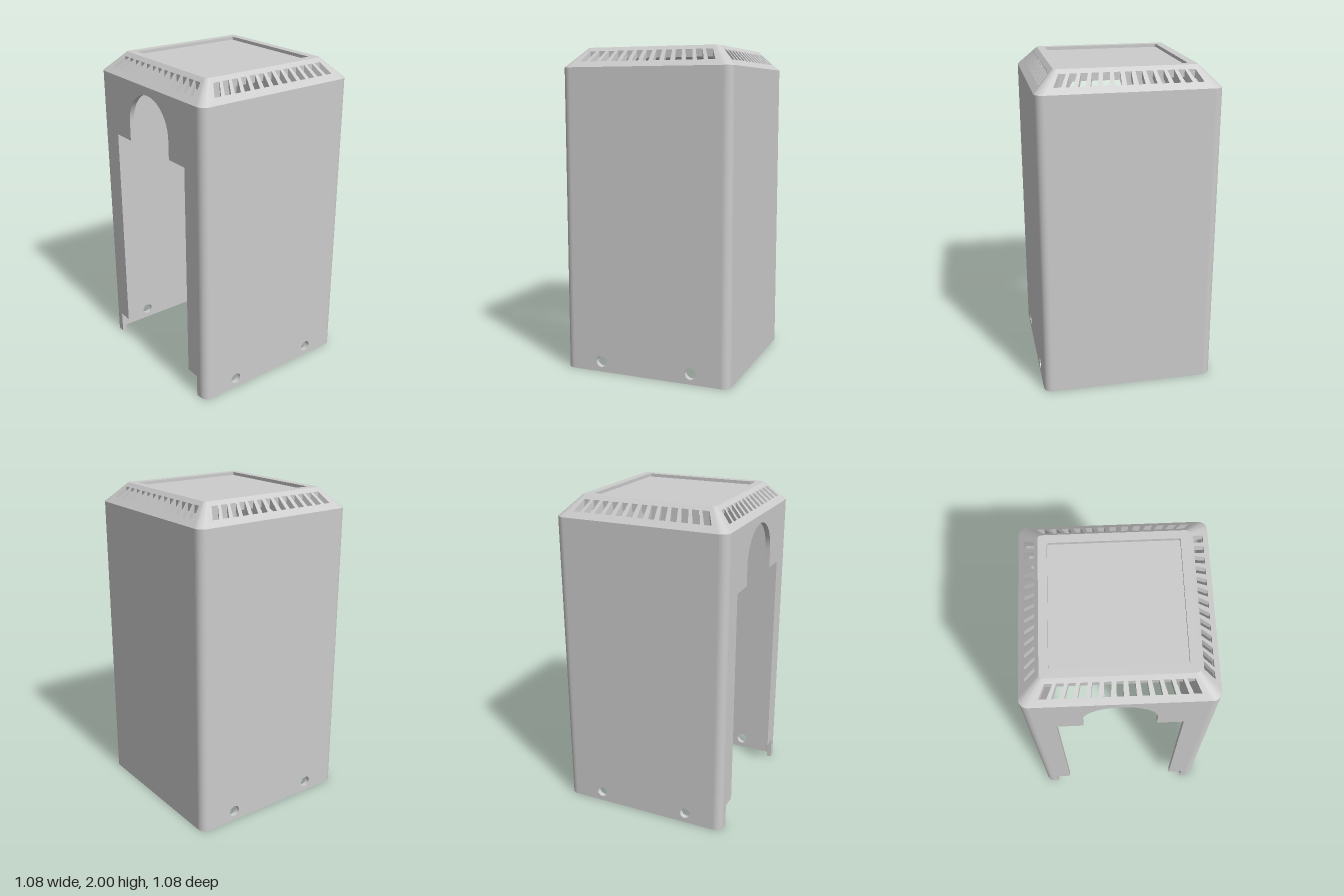
import * as THREE from 'three';
import { toCreasedNormals } from 'three/addons/utils/BufferGeometryUtils.js';

const material = new THREE.MeshStandardMaterial({ color: 0xcccccc });
const HALF = 0.54, WALL = 0.03, FLAT = 0.49;      // outer half width, wall thickness, flat half width
const EAVE = 1.88, TOP = 2, TOP_HALF = 0.42, ROOF = 0.045;
const SLOTS = 13;

function polygon(points, Type = THREE.Shape) {
  return new Type(points.map(([x, y]) => new THREE.Vector2(x, y)));
}

function roundedSquare(h, r, Type = THREE.Shape) {
  const s = new Type(), c = h - r;
  s.moveTo(c, -h);
  s.absarc(c, -c, r, -Math.PI / 2, 0);
  s.absarc(c, c, r, 0, Math.PI / 2);
  s.absarc(-c, c, r, Math.PI / 2, Math.PI);
  s.absarc(-c, -c, r, Math.PI, Math.PI * 1.5);
  s.closePath();
  return s;
}

function extrude(shape, depth) {
  return new THREE.ExtrudeGeometry(shape, { depth, bevelEnabled: false, curveSegments: 16 });
}

function add(parent, name, geometry, turn = 0) {
  const mesh = new THREE.Mesh(toCreasedNormals(geometry, 0.6), material);
  mesh.name = name;
  mesh.rotation.y = turn;
  parent.add(mesh);
  return mesh;
}

// Flat wall, optionally with two screw holes near the bottom
function wallGeometry(withHoles) {
  const top = EAVE - ROOF;
  const shape = polygon([[-FLAT, 0], [FLAT, 0], [FLAT, top], [-FLAT, top]]);
  if (withHoles) for (const x of [-0.297, 0.297]) {
    shape.holes.push(new THREE.Path().absarc(x, 0.065, 0.035, 0, Math.PI * 2, true));
  }
  return extrude(shape, WALL).translate(0, 0, HALF - WALL);
}

// Wall with the stepped opening and the arch above it
function openWallGeometry() {
  const top = EAVE - ROOF;
  const side = [[0.457, 0], [0.457, 0.14], [0.365, 0.14], [0.365, 1.5], [0.21, 1.5]];
  const s = new THREE.Shape();
  s.moveTo(-FLAT, top);
  s.lineTo(-FLAT, 0);
  side.forEach(([x, y]) => s.lineTo(-x, y));
  s.lineTo(-0.21, 1.62);
  s.absarc(0, 1.62, 0.21, Math.PI, 0, true);
  side.reverse().forEach(([x, y]) => s.lineTo(x, y));
  s.lineTo(FLAT, 0);
  s.lineTo(FLAT, top);
  s.closePath();
  return extrude(s, WALL).translate(0, 0, HALF - WALL);
}

// Sloped roof panel: a plan with fanned vent slots, extruded upward and sheared
function roofPanelGeometry() {
  const shape = polygon([[-FLAT, -HALF], [FLAT, -HALF], [0.4, -TOP_HALF], [-0.4, -TOP_HALF]]);
  const mid = (SLOTS - 1) / 2;
  for (let k = -mid; k <= mid; k++) {
    const w = 0.0185 + 0.0005 * Math.abs(k), outer = k * 0.0683, inner = k * 0.062;
    shape.holes.push(polygon([
      [outer - w, -0.506], [inner - w, -0.443], [inner + w, -0.443], [outer + w, -0.506],
    ], THREE.Path));
  }
  const g = extrude(shape, ROOF).rotateX(-Math.PI / 2);
  const p = g.attributes.position;
  for (let i = 0; i < p.count; i++) {
    p.setY(i, p.getY(i) + EAVE - ROOF + HALF - p.getZ(i));
  }
  g.computeVertexNormals();
  return g;
}

// Rounded corner post running up into the roof hip: [half width, radius, height]
function cornerGeometry() {
  const profile = [
    [HALF, 0.05, 0], [HALF, 0.05, EAVE], [TOP_HALF, 0.02, TOP],
    [TOP_HALF, 0.02, TOP - ROOF], [HALF - WALL, 0.02, EAVE - ROOF + WALL], [HALF - WALL, 0.02, 0],
  ];
  const steps = 8, n = profile.length, positions = [], index = [];
  for (let a = 0; a <= steps; a++) {
    const t = (a / steps) * Math.PI / 2;
    for (const [h, r, y] of profile) {
      positions.push(h - r + r * Math.cos(t), y, h - r + r * Math.sin(t));
    }
  }
  for (let a = 0; a < steps; a++) for (let i = 0; i < n; i++) {
    const j = (i + 1) % n, p = a * n, q = p + n;
    index.push(p + i, p + j, q + i, p + j, q + j, q + i);
  }
  const g = new THREE.BufferGeometry();
  g.setAttribute('position', new THREE.Float32BufferAttribute(positions, 3));
  g.setIndex(index);
  g.computeVertexNormals();
  return g;
}

export function createModel() {
  const model = new THREE.Group();
  model.name = 'ventedCover';

  add(model, 'frontWall', wallGeometry(true));
  add(model, 'backWall', wallGeometry(true), Math.PI);
  add(model, 'leftWall', wallGeometry(false), Math.PI / 2);
  add(model, 'rightWallWithOpening', openWallGeometry(), -Math.PI / 2);

  const corner = cornerGeometry(), roof = roofPanelGeometry();
  for (let i = 0; i < 4; i++) {
    add(model, 'corner', corner, i * Math.PI / 2);
    add(model, 'ventedRoofPanel', roof, i * Math.PI / 2);
  }

  // Top rim around a shallow recessed panel
  const rim = roundedSquare(TOP_HALF, 0.02);
  rim.holes.push(roundedSquare(0.37, 0.01, THREE.Path));
  add(model, 'topRim', extrude(rim, ROOF).rotateX(-Math.PI / 2).translate(0, TOP - ROOF, 0));
  add(model, 'recessedTopPanel',
    extrude(roundedSquare(0.37, 0.01), 0.025).rotateX(-Math.PI / 2).translate(0, TOP - ROOF, 0));

  return model;
}
